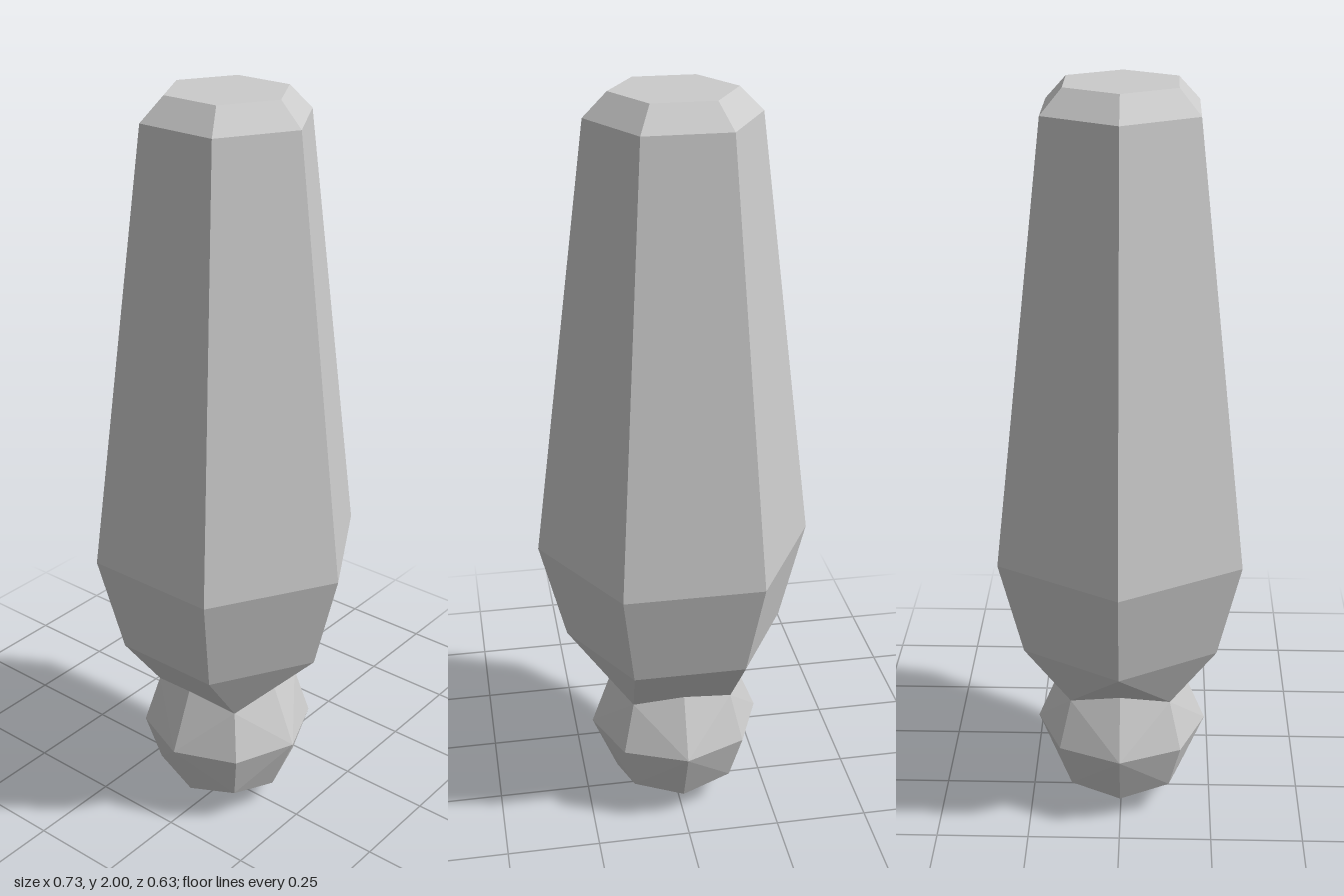
import * as THREE from 'three';
import { ConvexGeometry } from 'three/addons/geometries/ConvexGeometry.js';

const BALL_RADIUS = 0.232;
const BALL_Y = 0.237;

// Vertices of a once-subdivided cube pushed out onto a sphere
function ballPoints() {
  const points = [];
  for (let x = -1; x <= 1; x++) {
    for (let y = -1; y <= 1; y++) {
      for (let z = -1; z <= 1; z++) {
        if (x || y || z) {
          const p = new THREE.Vector3(x, y, z).setLength(BALL_RADIUS);
          p.y += BALL_Y;
          points.push(p);
        }
      }
    }
  }
  return points;
}

// Six-sided ring with corners on the x axis
function hexRing(radius, y) {
  return Array.from({ length: 6 }, (_, i) => {
    const a = (i * Math.PI) / 3;
    return new THREE.Vector3(radius * Math.cos(a), y, radius * Math.sin(a));
  });
}

export function createModel() {
  const group = new THREE.Group();
  const material = new THREE.MeshStandardMaterial({ color: 0xcccccc, flatShading: true });
  const add = (name, points) => {
    const mesh = new THREE.Mesh(new ConvexGeometry(points), material);
    mesh.name = name;
    group.add(mesh);
  };

  // Rounded end ball
  const ball = ballPoints();
  add('endBall', ball);

  // Tapered hexagonal grip, its base joined to the upper ring of the ball
  const profile = [[0.157, 2], [0.217, 1.94], [0.363, 0.805], [0.295, 0.535]];
  const neck = ball.filter((p) => p.y > BALL_Y + 0.1 && Math.hypot(p.x, p.z) > 0.1);
  add('grip', [...profile.flatMap(([r, y]) => hexRing(r, y)), ...neck]);

  return group;
}
